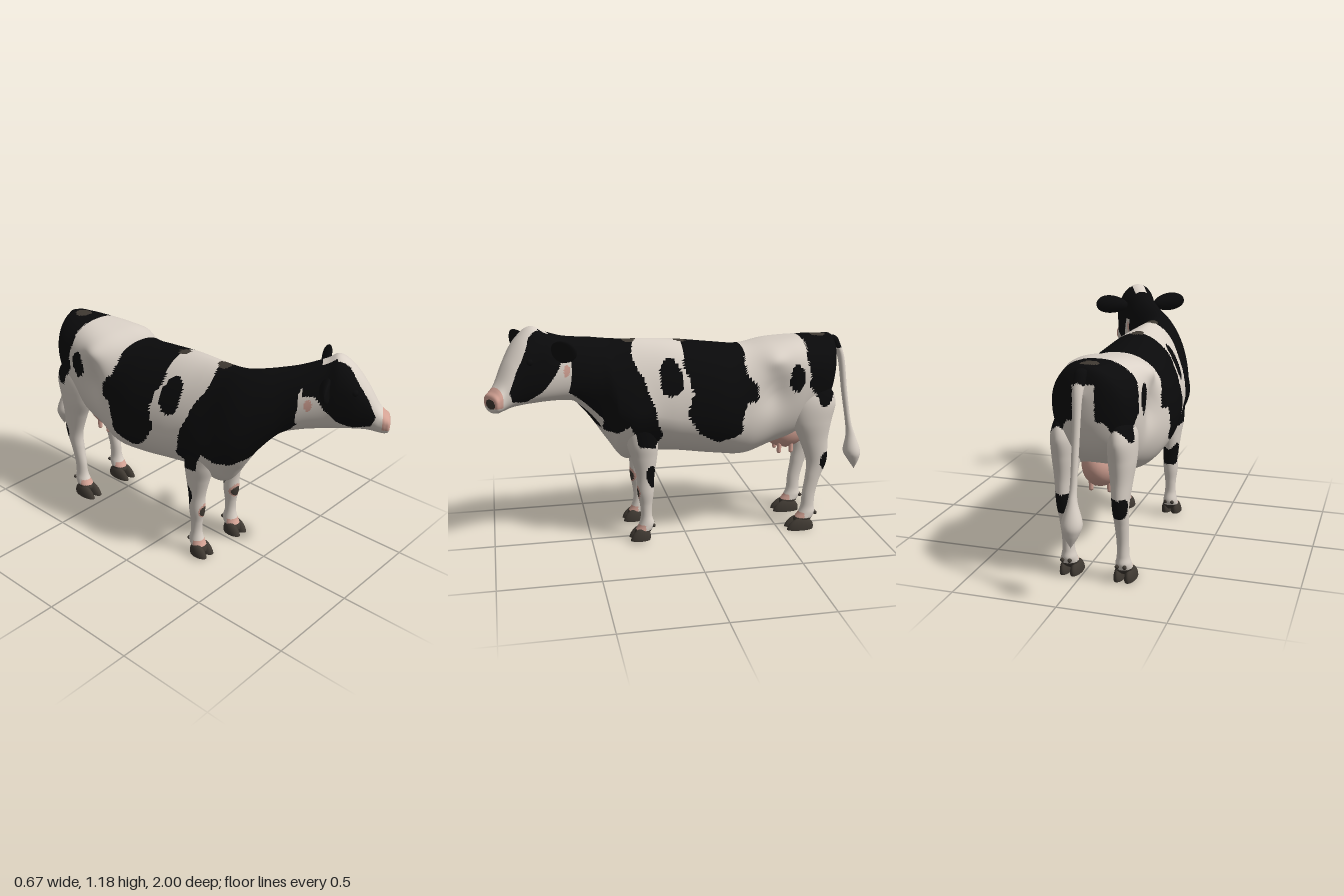
import * as THREE from 'three';

const MID = -0.07;                       // x of the body's centre plane
const HEAD = { x: 0.115, z: 0.72, yaw: 0.588 };
const SIN = Math.sin(HEAD.yaw), COS = Math.cos(HEAD.yaw);
const WHITE = 0, BLACK = 1, PINK = 2, BROWN = 3;

// Coat patches as side outlines [z, y], the same on both flanks
const RUMP = [[-.61, 1.1], [-.85, 1.1], [-.85, .8], [-.8, .79], [-.74, .7], [-.7, .69], [-.635, .8], [-.62, .95]];
const SADDLE = [[.02, 1.1], [.02, .92], [-.02, .8], [.02, .72], [-.04, .6], [-.15, .54], [-.26, .59], [-.28, .74],
  [-.35, .76], [-.35, .83], [-.29, .88], [-.31, 1.1]];
const SHOULDER = [[.65, .7], [.42, .6], [.36, .6], [.3, .65], [.25, .53], [.17, .52], [.14, .59], [.19, .78], [.28, 1],
  [.25, 1.1], [.7, 1.2]];
const SPOTS = [[-.56, .85, .04, .07], [.09, .88, .058, .09], [.19, .36, .028, .06], [-.74, .385, .028, .05]];
// Cheek patch as [distance along head, y]
const CHEEK = [[-.2, 1.2], [.06, 1.2], [.12, 1.12], [.2, .99], [.24, .9], [.22, .85], [.14, .83], [.06, .87],
  [0, .94], [-.04, 1], [-.2, 1]];
// Marks along the back: z, radius
const MARKS = [[-.72, .042], [.02, .032], [.28, .036]];

function inside(poly, a, b) {
  let hit = false;
  poly.forEach(([x1, y1], i) => {
    const [x2, y2] = poly.at(i - 1);
    if ((y1 > b) !== (y2 > b) && a < (x2 - x1) * (b - y1) / (y2 - y1) + x1) hit = !hit;
  });
  return hit;
}
const inEllipse = (a, b, ra, rb) => (a / ra) ** 2 + (b / rb) ** 2 < 1;

function headColour(s, y, u) {
  // Nose
  if (s > .285 && inEllipse(u - .008, y - .848, .034, .024)) return BROWN;
  if (s > .272 && y > .832) return PINK;
  // Jaw corner, poll, then cheeks either side of the blaze
  if (inEllipse(s + .07, y - .955, .018, .03)) return PINK;
  if (s < -.02 && y > 1) return BLACK;
  return Math.abs(u) > (s < .05 ? .034 : .046) && inside(CHEEK, s, y) ? BLACK : WHITE;
}

function coatColour(p) {
  const dx = p.x - HEAD.x, dz = p.z - HEAD.z;
  const s = dx * SIN + dz * COS, u = dx * COS - dz * SIN;
  if (s > -.1 && p.y > .74 && p.z > .55) return headColour(s, p.y, u);
  const side = Math.abs(p.x - MID);
  // Hoof tops, knees, and skin above the hooves
  if (p.y < .065) return BROWN;
  if (p.y < .4 && (p.z > .225 || (p.z < -.4 && p.z > -.635))) {
    if (p.y < .093) return PINK;
    if (p.z > 0 && inEllipse(side - .128, p.y - .27, .026, .029)) return BROWN;
    if (p.z > 0 && inEllipse(side - .128, p.y - .275, .032, .041)) return PINK;
  }
  if (p.y > .97 && MARKS.some(([z, r]) => inEllipse(side, p.z - z, r, r))) return BROWN;
  // White throat and white below the tail
  if (p.z > .38 && p.x > -.015 && p.y > .59 + 1.35 * (p.x + .02) && p.y < .24 + p.z) return WHITE;
  if (p.z < -.74 && side < .05 && p.y < .96) return WHITE;
  const z = p.z + .004 * Math.sin(p.y * 45), y = p.y + .004 * Math.sin(p.z * 50);
  if (SPOTS.some(e => inEllipse(z - e[0], y - e[1], e[2], e[3]))) return BLACK;
  return [RUMP, SADDLE, SHOULDER].some(poly => inside(poly, z, y)) ? BLACK : WHITE;
}

// Smooth interpolation through rows of numbers
function sample(rows, t) {
  const f = t * (rows.length - 1), i = Math.min(Math.floor(f), rows.length - 2), k = f - i;
  const at = n => rows[Math.max(0, Math.min(rows.length - 1, n))];
  return rows[i].map((b, c) => {
    const a = at(i - 1)[c], d = at(i + 1)[c], e = at(i + 2)[c];
    return b + .5 * k * (d - a + k * (2 * a - 5 * b + 4 * d - e + k * (3 * (b - d) + e - a)));
  });
}

// Skin over closed cross-sections, each triangle given its coat colour
function loft(name, rows, ring, nu, nv, mats) {
  const pos = [], buckets = mats.map(() => []), p = new THREE.Vector3();
  for (let i = 0; i <= nu; i++) {
    const row = sample(rows, i / nu);
    for (let j = 0; j < nv; j++) pos.push(...ring(row, j / nv * Math.PI * 2));
  }
  const tri = (...v) => {
    p.set(0, 0, 0);
    for (const n of v) p.add(new THREE.Vector3().fromArray(pos, n * 3));
    buckets[coatColour(p.divideScalar(3))].push(...v);
  };
  for (let i = 0; i < nu; i++) for (let j = 0; j < nv; j++) {
    const a = i * nv + j, b = i * nv + (j + 1) % nv;
    tri(a, b, a + nv);
    tri(b, b + nv, a + nv);
  }
  const geo = new THREE.BufferGeometry();
  geo.setAttribute('position', new THREE.Float32BufferAttribute(pos, 3));
  geo.setIndex(buckets.flat());
  let start = 0;
  buckets.forEach((b, m) => { if (b.length) geo.addGroup(start, b.length, m); start += b.length; });
  geo.computeVertexNormals();
  const mesh = new THREE.Mesh(geo, mats);
  mesh.name = name;
  return mesh;
}

const power = (v, e) => Math.sign(v) * Math.abs(v) ** (2 / e);
const bell = (v, r) => Math.exp(-((v / r) ** 2));

// Upright section: z, top, bottom, height of widest point, half width.
// The spine is straight to the withers, then bends sideways into the neck.
function trunkRing([z, top, bot, wide, hw], a) {
  const bend = .165, t = Math.max(0, z - .36), yaw = HEAD.yaw * Math.min(1, t / bend);
  const x = MID + .667 * (t < bend ? t * t / (2 * bend) : t - bend / 2);
  // Squarer at the hips and muzzle, sharper at the withers
  const e = 2 + .8 * bell(z + .47, .17) - .3 * bell(z - .28, .2) + .4 * bell(z - .97, .05);
  const c = Math.cos(a), s = Math.sin(a);
  const y = wide + power(s, e) * (s > 0 ? top - wide : wide - bot);
  // Shoulder and hip bulge out, flank sinks in
  const muscle = .018 * bell(z - .27, .09) * bell(y - .68, .13) + .025 * bell(z + .44, .06) * bell(y - .96, .05)
    - .028 * bell(z + .44, .08) * bell(y - .78, .1);
  const w = Math.max(hw, .002) * power(c, e) + c * muscle;
  return [x + w * Math.cos(yaw), y, z - w * Math.sin(yaw)];
}
// Level limb section: y, z, x radius, z radius
const limbRing = x => ([y, z, rx, rz], a) =>
  [x + Math.max(rx, .002) * Math.cos(a), y, z + Math.max(rz, .002) * Math.sin(a)];

// Sphere whose vertices are moved by a rule
function shapedBall(name, mat, rule) {
  const geo = new THREE.SphereGeometry(1, 28, 20), p = geo.attributes.position;
  for (let i = 0; i < p.count; i++) p.setXYZ(i, ...rule(p.getX(i), p.getY(i), p.getZ(i)));
  geo.computeVertexNormals();
  const mesh = new THREE.Mesh(geo, mat);
  mesh.name = name;
  return mesh;
}
const ball = (name, mat, rx, ry, rz) => shapedBall(name, mat, (x, y, z) => [x * rx, y * ry, z * rz]);

export function createModel() {
  const cow = new THREE.Group();
  cow.name = 'cow';
  const mats = [['whiteCoat', 0xdad1c7], ['blackCoat', 0x0a0a0b], ['pinkSkin', 0xd3a294], ['darkHoof', 0x3f3932]]
    .map(([name, color]) => Object.assign(new THREE.MeshStandardMaterial({ color }), { name }));
  const place = (mesh, x, y, z, parent = cow) => {
    mesh.position.set(x, y, z);
    parent.add(mesh);
    return mesh;
  };

  // Trunk, neck and head in one skin
  const trunk = [
    [-.82, .92, .92, .92, 0], [-.8, 1.025, .76, .9, .1], [-.74, 1.037, .63, .86, .17], [-.6, 1.033, .52, .85, .2],
    [-.45, 1.02, .47, .83, .212], [-.3, 1, .42, .7, .243], [-.15, 1.015, .43, .68, .26], [.05, 1.04, .455, .68, .235],
    [.2, 1.05, .455, .7, .208], [.31, 1.052, .42, .7, .195], [.4, 1.06, .53, .76, .172], [.48, 1.075, .66, .85, .13],
    [.555, 1.09, .755, .92, .106], [.63, 1.11, .785, .96, .1], [.72, 1.15, .8, .99, .096], [.77, 1.177, .805, 1.03, .103],
    [.828, 1.13, .81, 1.01, .098], [.885, 1.04, .81, .95, .076], [.93, .945, .803, .88, .06],
    [.957, .905, .8, .86, .058], [.975, .885, .81, .855, .05], [.98, .848, .848, .848, 0],
  ];
  cow.add(loft('bodyAndHead', trunk, trunkRing, 231, 140, mats));

  // Legs with cloven hooves
  const foreLeg = [[.74, .25, 0, 0], [.68, .25, .055, .085], [.55, .235, .063, .083], [.46, .225, .052, .067],
    [.36, .22, .04, .047], [.27, .22, .038, .043], [.2, .218, .029, .032], [.14, .217, .029, .029],
    [.09, .217, .037, .041], [.055, .235, .04, .042], [.035, .245, .03, .036]];
  const hindLeg = [[.84, -.65, 0, 0], [.78, -.655, .04, .1], [.7, -.665, .062, .126], [.6, -.665, .062, .108],
    [.5, -.68, .05, .078], [.38, -.7, .037, .056], [.29, -.683, .032, .041], [.2, -.665, .028, .036],
    [.13, -.66, .029, .036], [.09, -.655, .037, .045], [.055, -.635, .04, .048], [.035, -.625, .03, .036]];
  for (const side of [-1, 1]) {
    const x = MID + side * .133;
    for (const [name, rows, base, z, length, heel] of [
      ['frontLeg', foreLeg, .012, .253, .052, .182], ['hindLeg', hindLeg, 0, -.615, .072, -.7]]) {
      cow.add(loft(name, rows, limbRing(x), 130, 36, mats));
      for (const d of [-.026, .026]) {
        // Flat-soled toe leaning back towards the pastern
        const toe = shapedBall('hoof', mats[BROWN], (px, py, pz) => {
          const up = Math.max(0, py);
          return [px * .027, up * .064, pz * length - up * .016];
        });
        place(toe, x + d, base, z);
        place(ball('dewclaw', mats[BROWN], .01, .01, .01), x + d * .7, .085, heel);
      }
    }
  }

  // Tail with tuft
  const tail = [[1.03, -.79, 0, 0], [1.02, -.8, .025, .025], [.98, -.825, .028, .022], [.9, -.858, .021, .018],
    [.72, -.885, .017, .016], [.55, -.915, .016, .016], [.47, -.933, .022, .025], [.38, -.945, .047, .047],
    [.33, -.955, .036, .033], [.27, -.965, 0, 0]];
  cow.add(loft('tail', tail, limbRing(-.06), 70, 20, mats));

  // Udder and teats
  place(ball('udder', mats[PINK], .09, .11, .125), MID, .535, -.56);
  for (const dx of [-.045, .045]) for (const z of [-.52, -.585]) {
    const teat = new THREE.Mesh(new THREE.CapsuleGeometry(.012, .04, 4, 10), mats[PINK]);
    teat.name = 'teat';
    place(teat, MID + dx, .432, z);
  }

  // Flattened, cupped ears, and eyes
  const face = new THREE.Group();
  face.name = 'face';
  face.rotation.y = HEAD.yaw;
  place(face, HEAD.x, 0, HEAD.z);
  for (const side of [-1, 1]) {
    const ear = shapedBall('ear', mats[BLACK], (x, y, z) =>
      [x * .095, y * .05 * (1 + .15 * x * side), z * .023 + .016 * y * y - .006]);
    place(ear, side * .17, 1.075, .005, face).rotation.z = side * .1;
    place(ball('eye', mats[BLACK], .018, .018, .018), side * .084, 1.03, .135, face);
  }
  return cow;
}
